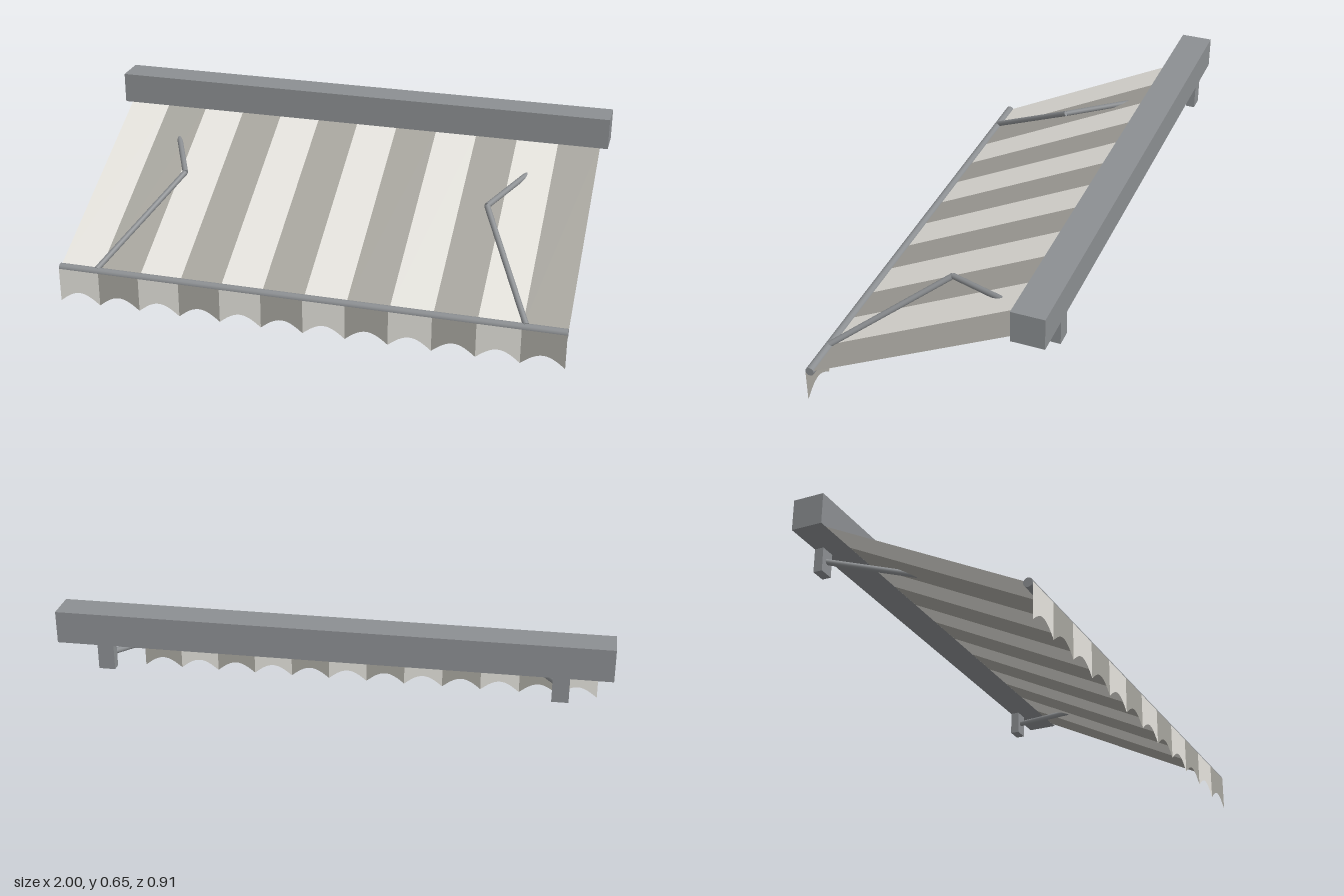
import * as THREE from 'three';

export function createModel() {
  const group = new THREE.Group();
  const mat = (color, side = THREE.FrontSide) => new THREE.MeshStandardMaterial({ color, side });
  const metal = mat(0x8c8f92);
  const cloth = [mat(0xe6e4de, THREE.DoubleSide), mat(0xa8a69f, THREE.DoubleSide)];

  const add = (name, geometry, material, x = 0, y = 0, z = 0) => {
    const mesh = new THREE.Mesh(geometry, material);
    mesh.name = name;
    mesh.position.set(x, y, z);
    group.add(mesh);
    return mesh;
  };

  // Round rod between two points
  const rod = (name, a, b, radius) => {
    const dir = b.clone().sub(a);
    const mesh = add(name, new THREE.CylinderGeometry(radius, radius, dir.length(), 16), metal);
    mesh.position.copy(a).add(b).multiplyScalar(0.5);
    mesh.quaternion.setFromUnitVectors(new THREE.Vector3(0, 1, 0), dir.normalize());
  };

  // Cassette along the wall and the front bar
  add('cassette', new THREE.BoxGeometry(2, 0.12, 0.12), metal, 0, 0.59, -0.395);
  const barY = 0.135, barZ = 0.44, half = 0.97;
  rod('frontBar', new THREE.Vector3(-half, barY, barZ), new THREE.Vector3(half, barY, barZ), 0.017);

  // Striped canopy and scalloped valance
  const count = 12, w = (2 * half) / count;
  const top = { y: 0.543, z: -0.36 };
  const slope = Math.hypot(top.y - barY, barZ - top.z);
  const tilt = -Math.atan2(barZ - top.z, top.y - barY);
  for (let i = 0; i < count; i++) {
    const x = -half + (i + 0.5) * w;
    const panel = add('canopyStripe', new THREE.PlaneGeometry(w, slope), cloth[i % 2],
      x, (top.y + barY) / 2, (top.z + barZ) / 2);
    panel.rotation.x = tilt;

    const flap = new THREE.Shape();
    flap.moveTo(-w / 2, 0.136);
    flap.lineTo(-w / 2, 0);
    for (let k = 1; k <= 16; k++) {
      const t = k / 16;
      flap.lineTo((t - 0.5) * w, 0.042 * Math.sin(Math.PI * t));
    }
    flap.lineTo(w / 2, 0.136);
    add('valanceFlap', new THREE.ShapeGeometry(flap), cloth[i % 2], x, 0, 0.457);
  }

  // Wall brackets and folding arms, mirrored
  for (const [side, s] of [['left', 1], ['right', -1]]) {
    add(side + 'Bracket', new THREE.BoxGeometry(0.06, 0.095, 0.035), metal, s * 0.82, 0.4845, -0.4375);
    const shoulder = new THREE.Vector3(s * 0.82, 0.487, -0.425);
    const elbow = new THREE.Vector3(s * 0.6, 0.407, 0.04);
    const wrist = new THREE.Vector3(s * 0.82, 0.146, 0.437);
    rod(side + 'UpperArm', shoulder, elbow, 0.011);
    rod(side + 'Forearm', elbow, wrist, 0.011);
  }
  return group;
}
